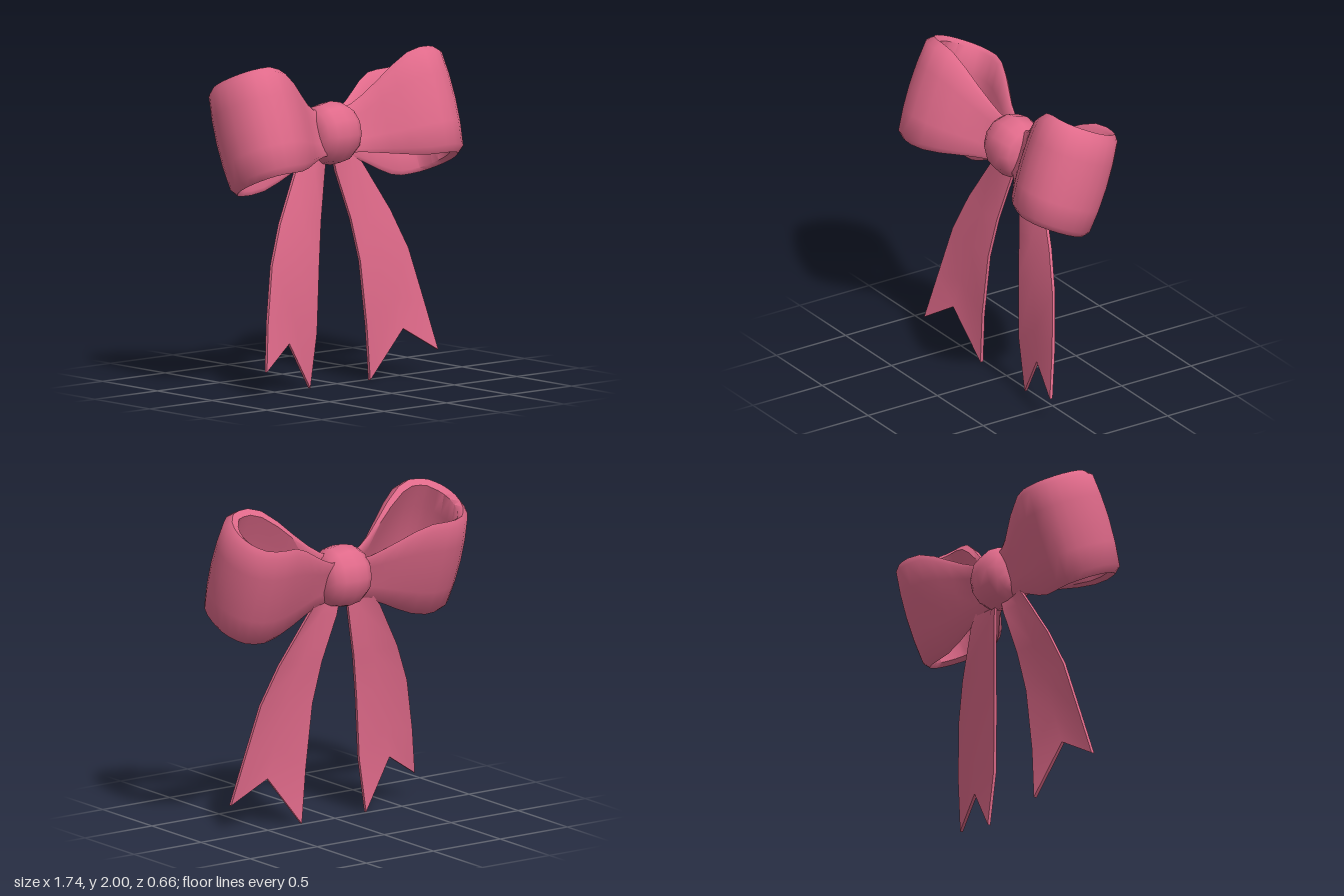
import * as THREE from 'three';
import { toCreasedNormals } from 'three/addons/utils/BufferGeometryUtils.js';

const pink = new THREE.MeshStandardMaterial({ color: 0xe06a8a });
pink.name = 'pink satin';
const lerp = THREE.MathUtils.lerp;

// Skin a row of closed cross-sections; side = -1 mirrors the part across x.
function loft(rows, side, capEnd) {
  const n = rows[0].length, pos = [], idx = [];
  rows.forEach(row => row.forEach(p => pos.push(p.x * side, p.y, p.z)));
  const quad = (a, b, c, d) => side > 0
    ? idx.push(a, d, b, b, d, c)
    : idx.push(a, b, d, b, c, d);
  for (let r = 0; r < rows.length - 1; r++) {
    for (let k = 0; k < n; k++) {
      const j = (k + 1) % n;
      quad(r * n + k, r * n + j, (r + 1) * n + j, (r + 1) * n + k);
    }
  }
  if (capEnd) {
    const s = (rows.length - 1) * n;
    for (let k = 0; k < n / 2 - 1; k++) quad(s + k, s + k + 1, s + n - 2 - k, s + n - 1 - k);
  }
  const g = new THREE.BufferGeometry();
  g.setAttribute('position', new THREE.Float32BufferAttribute(pos, 3));
  g.setIndex(idx);
  return toCreasedNormals(g, 1.1);
}

function add(group, name, geometry) {
  const m = new THREE.Mesh(geometry, pink);
  m.name = name;
  group.add(m);
  return m;
}

// Ribbon loop: a path seen along the ribbon's width, which leans backward.
function loopGeometry(side) {
  const up = new THREE.Vector3(0, 0.94, -0.34), out = new THREE.Vector3(0, 0.34, 0.94);
  const half = [[0.08, 0.05], [0.22, 0.095], [0.4, 0.18], [0.6, 0.245], [0.74, 0.215], [0.815, 0.13]];
  const path = [...half, [0.845, 0], ...half.slice().reverse().map(([x, w]) => [x, -w])];
  const curve = new THREE.CatmullRomCurve3(path.map(([x, w]) => new THREE.Vector3(x, 0, w)));
  // Cross-section as [position across the width, fraction of the thickness], with rounded rims
  const section = [[-1, 0.45], [-0.88, 0], [-0.45, 0], [0, 0], [0.45, 0], [0.88, 0],
    [1, 0.45], [0.93, 1], [0.45, 1], [0, 1], [-0.45, 1], [-0.93, 1]];
  const steps = 24, rows = [];
  for (let i = 0; i <= steps; i++) {
    const p = curve.getPoint(i / steps), t = curve.getTangent(i / steps);
    const s = THREE.MathUtils.smoothstep(p.x, 0.06, 0.58);
    const width = lerp(0.135, 0.33, s);
    const skew = 0.08 * s * p.z;
    const thick = lerp(0.02, 0.065 + 0.06 * p.z, s) + (p.x > 0.75 ? 0.01 : 0);
    const bulge = lerp(-0.005, 0.025, s);
    rows.push(section.map(([u, f]) => {
      const d = bulge * (1 - u * u) - thick * f;
      return new THREE.Vector3(p.x - t.z * d, lerp(1.52, 1.605, s), lerp(-0.06, -0.01, s))
        .addScaledVector(up, u * width + skew)
        .addScaledVector(out, p.z + t.x * d);
    }));
  }
  return loft(rows, side, false);
}

// Hanging tail: inner edge, centre fold and outer edge, ending in a notch.
function tailGeometry(side) {
  const rows = [
    [[0.02, 1.43, -0.07], [0.08, 1.45, -0.04], [0.15, 1.46, -0.07]],
    [[0.045, 1.29, -0.06], [0.15, 1.30, -0.03], [0.27, 1.31, -0.07]],
    [[0.12, 1.0, -0.01], [0.27, 1.0, 0.005], [0.44, 1.02, -0.015]],
    [[0.165, 0.74, 0.025], [0.34, 0.76, 0.04], [0.545, 0.78, 0.03]],
    [[0.2, 0.34, 0.045], [0.41, 0.5, 0.06], [0.625, 0.45, 0.085]],
    [[0.24, 0.005, 0.03], [0.455, 0.305, 0.085], [0.685, 0.16, 0.142]],
  ].map(row => {
    const front = row.map(p => new THREE.Vector3(...p));
    const back = front.map(p => p.clone().setZ(p.z - 0.02)).reverse();
    return [...front, ...back];
  });
  return loft(rows, side, true);
}

export function createModel() {
  const bow = new THREE.Group();
  bow.name = 'ribbonBow';

  for (const [side, label] of [[1, 'left'], [-1, 'right']]) {
    add(bow, label + 'Loop', loopGeometry(side));
    add(bow, label + 'Tail', tailGeometry(side));
  }

  // Barrel-shaped centre knot, turned to lie along x
  const profile = [[0, -0.16], [0.09, -0.158], [0.148, -0.13], [0.18, -0.08], [0.195, 0],
    [0.18, 0.08], [0.148, 0.13], [0.09, 0.158], [0, 0.16]]
    .map(([r, y]) => new THREE.Vector2(r, y));
  const knotGeometry = new THREE.LatheGeometry(profile, 12);
  knotGeometry.rotateZ(Math.PI / 2);
  const knot = add(bow, 'knot', knotGeometry);
  knot.scale.z = 0.93;
  knot.position.set(0, 1.525, -0.06);

  return bow;
}
